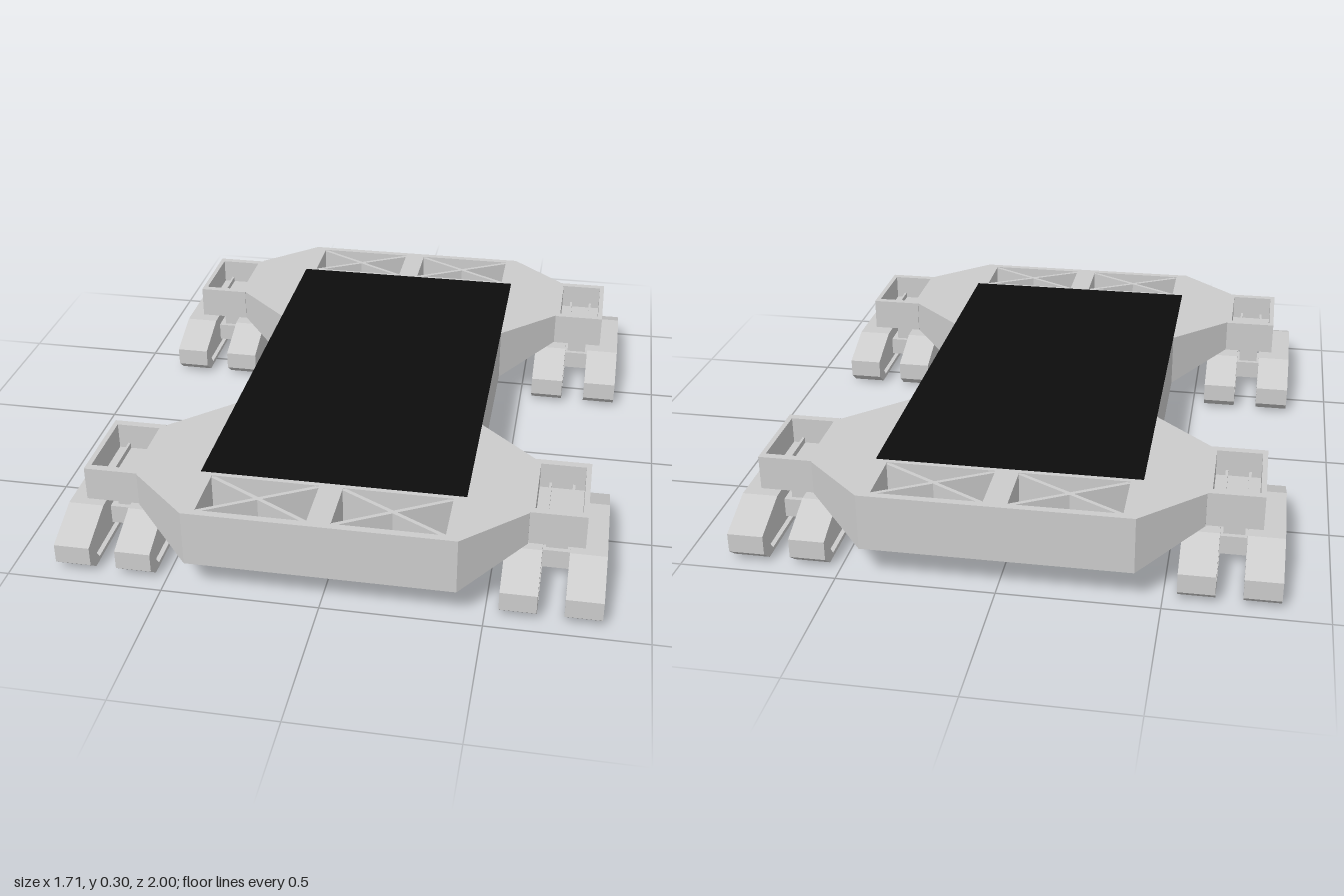
import * as THREE from 'three';

const grey = new THREE.MeshStandardMaterial({ color: 0xcccccc, flatShading: true });
const black = new THREE.MeshStandardMaterial({ color: 0x0d0d0d });

const BOTTOM = 0.115, TOP = 0.3, POD_BOTTOM = 0.188;
const POD_X = 0.698, POD_Z = 0.665;

function add(parent, name, geometry, x = 0, y = 0, z = 0, material = grey) {
  const mesh = new THREE.Mesh(geometry, material);
  mesh.name = name;
  mesh.position.set(x, y, z);
  parent.add(mesh);
  return mesh;
}

const box = (w, h, d) => new THREE.BoxGeometry(w, h, d);

// Rectangle as a point list, centred on (cx, cy)
function rect(cx, cy, w, h) {
  return [[-1, -1], [1, -1], [1, 1], [-1, 1]].map(
    ([a, b]) => new THREE.Vector2(cx + a * w / 2, cy + b * h / 2));
}

function extrude(outline, holes, depth) {
  const shape = new THREE.Shape(outline);
  holes.forEach(h => shape.holes.push(new THREE.Path(h.slice().reverse())));
  return new THREE.ExtrudeGeometry(shape, { depth, bevelEnabled: false });
}

// Slab with vertical holes, standing on y = 0
const slab = (outline, holes, height) =>
  extrude(outline, holes, height).rotateX(-Math.PI / 2);

// Tapering arm from the hull side out to a pod
function armGeometry(sx, sz) {
  const g = box(1, 1, 1);
  const p = g.attributes.position;
  for (let i = 0; i < p.count; i++) {
    const outer = p.getX(i) * sx > 0;
    const zc = (outer ? 0.67 : 0.6675) * sz;
    const depth = outer ? 0.3 : 0.665;
    const low = outer ? POD_BOTTOM : BOTTOM;
    p.setXYZ(i, sx * (outer ? 0.612 : 0.418),
      p.getY(i) > 0 ? TOP : low, zc + p.getZ(i) * depth);
  }
  g.computeVertexNormals();
  return g;
}

// Side outline of a track: long octagon, given by half lengths and heights
function trackOutline(end, foot, flat, y0, y1, y2, y3) {
  const half = [[foot, y0], [end, y1], [end, y2], [flat, y3]];
  const other = half.map(([z, y]) => [-z, y]).reverse();
  return [...half, ...other].map(([z, y]) => new THREE.Vector2(z, y));
}

function makeTrack() {
  const track = new THREE.Group();
  track.name = 'track';
  const width = 0.114;
  const outer = trackOutline(0.293, 0.25, 0.14, 0, 0.035, 0.098, 0.158);
  const inner = trackOutline(0.236, 0.215, 0.13, 0.014, 0.04, 0.09, 0.143);
  const belt = extrude(outer, [inner], width).translate(0, 0, -width / 2).rotateY(-Math.PI / 2);
  const core = extrude(inner, [], width - 0.03).translate(0, 0, -width / 2 + 0.015).rotateY(-Math.PI / 2);
  add(track, 'trackBelt', belt);
  add(track, 'trackCore', core);
  return track;
}

function makeTruck() {
  const truck = new THREE.Group();
  truck.name = 'crawlerTruck';

  // Open-topped pod with a floor and two ribs
  add(truck, 'podWalls', slab(rect(0, 0, 0.175, 0.3), [rect(0, 0, 0.143, 0.25)], TOP - POD_BOTTOM), 0, POD_BOTTOM);
  add(truck, 'podFloor', box(0.15, 0.025, 0.26), 0, POD_BOTTOM + 0.0127);
  for (const s of [-1, 1]) {
    add(truck, 'podRib', box(0.008, 0.02, 0.25), s * 0.037, POD_BOTTOM + 0.034);
  }

  // Stem and axle carrying a pair of tracks
  add(truck, 'stem', box(0.068, 0.12, 0.068), 0, 0.14);
  add(truck, 'axle', box(0.11, 0.064, 0.1), 0, 0.063);
  for (const s of [-1, 1]) {
    const track = makeTrack();
    track.position.x = s * 0.0985;
    truck.add(track);
  }
  return truck;
}

export function createModel() {
  const model = new THREE.Group();
  model.name = 'crawlerTransporter';

  // Hull with two windows through each end
  const windowW = 0.342, windowD = 0.192, windowX = 0.208, windowZ = 0.88;
  const corners = [[-1, -1], [1, -1], [1, 1], [-1, 1]];
  const windows = corners.map(([sx, sz]) => rect(sx * windowX, sz * windowZ, windowW, windowD));
  add(model, 'hull', slab(rect(0, 0, 0.836, 2), windows, TOP - BOTTOM), 0, BOTTOM);

  // Dark load deck
  add(model, 'loadDeck', box(0.836, 0.004, 1.535), 0, TOP + 0.001, 0, black);

  const braceLength = Math.hypot(windowW, windowD);
  const braceAngle = Math.atan2(windowD, windowW);
  for (const [sx, sz] of corners) {
    // Crossed braces in the window
    for (const s of [-1, 1]) {
      const brace = add(model, 'windowBrace', box(braceLength, TOP - BOTTOM - 0.006, 0.013),
        sx * windowX, (TOP + BOTTOM) / 2, sz * windowZ);
      brace.rotation.y = s * braceAngle;
    }
    // Arm and crawler truck at each corner
    add(model, 'arm', armGeometry(sx, sz));
    const truck = makeTruck();
    truck.position.set(sx * POD_X, 0, sz * POD_Z);
    model.add(truck);
  }
  return model;
}
